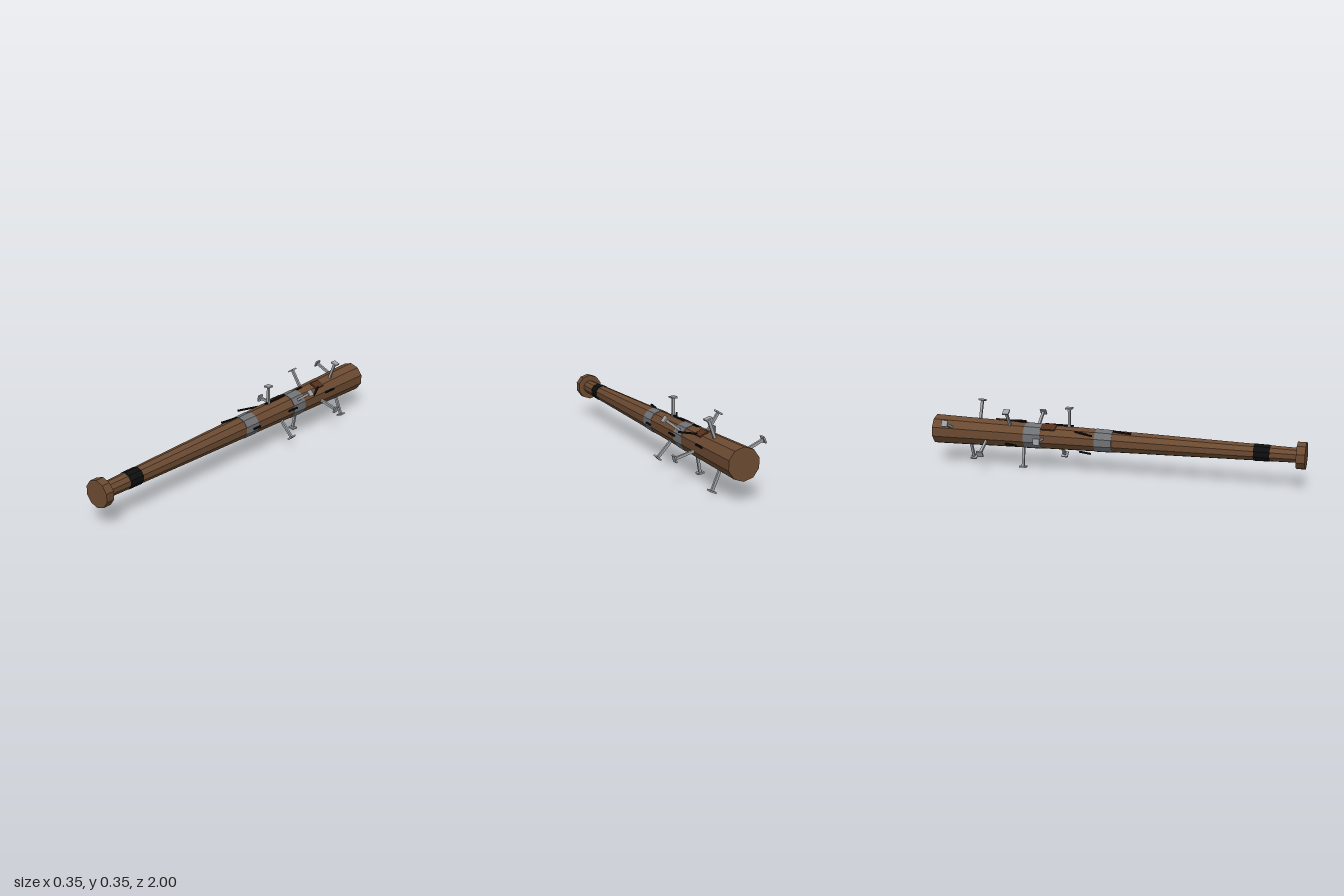
import * as THREE from 'three';

const CX = -0.002, CY = 0.178, SIDES = 10;

const mat = (name, color, flatShading = true) => {
  const m = new THREE.MeshStandardMaterial({ color, flatShading });
  m.name = name;
  return m;
};

// radius of the tapered bat at a given z
const radiusAt = (z) => 0.039 + (0.95 - z) * 0.0212;

export function createModel() {
  const group = new THREE.Group();
  group.name = 'nailedBat';
  const wood = mat('wood', 0x6b4a31);
  const tape = mat('greyTape', 0x707275);
  const steel = mat('nailSteel', 0xa0a2a6);
  const black = mat('black', 0x0e0e0e);
  const redWood = mat('redWood', 0x54301c);

  const add = (name, geometry, material, parent = group) => {
    const mesh = new THREE.Mesh(geometry, material);
    mesh.name = name;
    parent.add(mesh);
    return mesh;
  };

  // ten-sided section along z, from the front radius to the back radius
  const section = (name, zFront, zBack, rFront, rBack, material) => {
    const g = new THREE.CylinderGeometry(rFront, rBack, zFront - zBack, SIDES);
    g.rotateX(Math.PI / 2);
    add(name, g, material).position.set(CX, CY, (zFront + zBack) / 2);
  };
  const wrap = (name, zFront, zBack, grow, material) =>
    section(name, zFront, zBack, radiusAt(zFront) + grow, radiusAt(zBack) + grow, material);

  // Bat body, knob and wraps
  wrap('batBody', 0.96, -1, 0, wood);
  section('knob', 1, 0.955, 0.071, 0.071, wood);
  wrap('gripBand', 0.82, 0.738, 0.002, black);
  wrap('frontTape', 0, -0.093, 0.002, tape);
  wrap('backTape', -0.388, -0.482, 0.002, tape);

  // Nails: head centre x, y and z, each pointing out from the bat's axis
  const nails = [
    [-0.002, 0.34, -0.243], [0.058, 0.34, -0.757], [0.132, 0.278, -0.435],
    [0.166, 0.131, -0.628], [0.111, 0.054, -0.307], [0.066, 0.013, -0.82],
    [-0.031, 0.009, -0.497], [-0.155, 0.097, -0.693], [-0.166, 0.19, -0.372],
    [-0.161, 0.251, -0.886], [-0.093, 0.319, -0.563],
  ];
  for (const [x, y, z] of nails) {
    const nail = new THREE.Group();
    nail.name = 'nail';
    nail.position.set(CX, CY, z);
    nail.rotation.z = Math.atan2(y - CY, x - CX) - Math.PI / 2;
    const reach = Math.hypot(x - CX, y - CY), base = 0.04;
    add('nailShaft', new THREE.BoxGeometry(0.013, reach - base, 0.013), steel, nail)
      .position.y = (reach + base) / 2;
    add('nailHead', new THREE.BoxGeometry(0.034, 0.008, 0.034), steel, nail).position.y = reach;
    group.add(nail);
  }

  // Thin dark splinters, each from one point to another
  const splinters = [
    [-0.04, 0.226, -0.2, -0.09, 0.222, -0.095],
    [-0.014, 0.234, 0, -0.032, 0.233, 0.1],
    [-0.002, 0.246, -0.38, -0.002, 0.246, -0.22],
    [0.045, 0.238, -0.62, 0.095, 0.23, -0.52],
    [-0.066, 0.139, -0.58, -0.087, 0.137, -0.51],
    [-0.002, 0.248, -0.53, -0.002, 0.248, -0.48],
    [0.071, 0.198, -0.66, 0.076, 0.2, -0.73],
    [0.064, 0.184, -0.34, 0.067, 0.184, -0.41],
    [0.061, 0.174, -0.05, 0.063, 0.174, -0.1],
    [-0.024, 0.114, -0.18, -0.058, 0.117, -0.11],
  ];
  for (const p of splinters) {
    const a = new THREE.Vector3(...p.slice(0, 3)), b = new THREE.Vector3(...p.slice(3));
    const s = add('splinter', new THREE.BoxGeometry(0.009, 0.008, a.distanceTo(b)), black);
    s.position.copy(a).lerp(b, 0.5);
    s.lookAt(b);
  }

  // Loose reddish chips of wood lying on the barrel
  for (const [degrees, z, length] of [[64, -0.63, 0.065], [116, -0.35, 0.08]]) {
    const t = THREE.MathUtils.degToRad(degrees), r = radiusAt(z) - 0.001;
    const chip = add('woodChip', new THREE.BoxGeometry(0.046, 0.008, length), redWood);
    chip.position.set(CX + r * Math.cos(t), CY + r * Math.sin(t), z);
    chip.rotation.z = t - Math.PI / 2;
  }
  return group;
}
